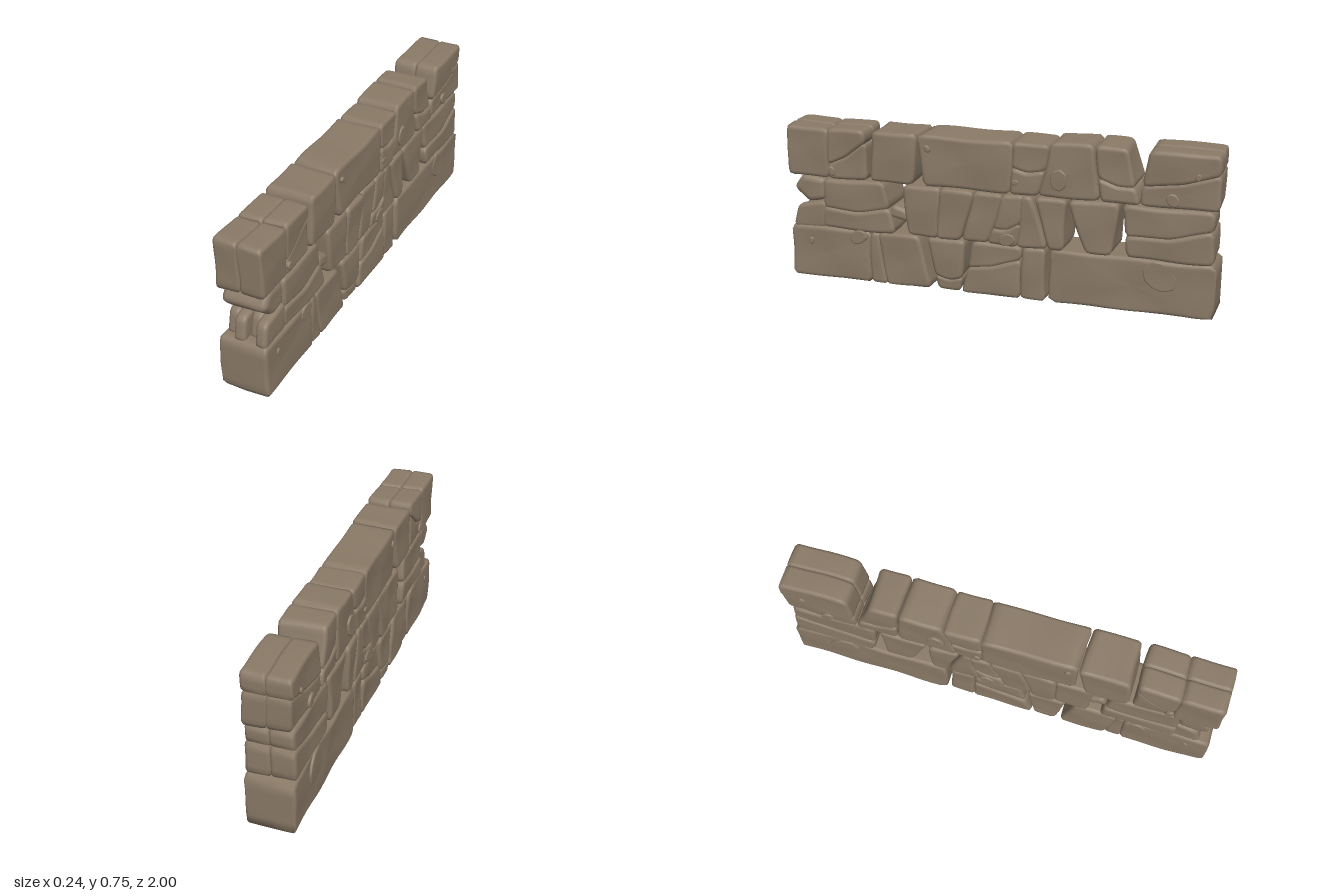
import * as THREE from 'three';

const stoneMat = new THREE.MeshStandardMaterial({ color: 0x8a7a67 });
stoneMat.name = 'weathered stone';

const SEG = 44;
const wob = (a, b, c) => Math.sin(a * 17 + b * 9 + c * 5) * 0.6 + Math.sin(a * 8 - b * 23 + c * 11 + 2) * 0.4;

// Outline along the wall (u runs from front to back, v is up) with rounded corners
function outline(pts, r) {
  const P = pts.map(([u, v]) => new THREE.Vector2(u, v));
  const shape = new THREE.Shape();
  P.forEach((p, i) => {
    const prev = P[(i + P.length - 1) % P.length], next = P[(i + 1) % P.length];
    const a = p.clone().lerp(prev, Math.min(0.45, r / p.distanceTo(prev)));
    const b = p.clone().lerp(next, Math.min(0.45, r / p.distanceTo(next)));
    if (i) shape.lineTo(a.x, a.y); else shape.moveTo(a.x, a.y);
    shape.quadraticCurveTo(p.x, p.y, b.x, b.y);
  });
  shape.closePath();
  return shape.getSpacedPoints(SEG).slice(0, SEG);
}

// Worn stone: counter-clockwise outline swept from x0 to x1, with rounded edges and uneven faces
function stoneGeometry(pts, x0, x1, { bevel = 0.017, r = 0.022, grow = 0.003, rough = 0.004 } = {}) {
  const ring = outline(pts, r);
  const c = ring.reduce((s, p) => s.add(p), new THREE.Vector2()).divideScalar(SEG);
  const normals = ring.map((p, i) => {
    const t = ring[(i + 1) % SEG].clone().sub(ring[(i + SEG - 1) % SEG]).normalize();
    return new THREE.Vector2(t.y, -t.x);
  });
  // Cross-sections: [scale to centre, inset, distance from the face]
  const half = [0, 0.4, 0.75, 0.95].map(s => [s, bevel, 0]);
  for (let k = 0; k <= 4; k++) {
    const a = k * Math.PI / 8;
    half.push([1, bevel * (1 - Math.sin(a)), bevel * (1 - Math.cos(a))]);
  }
  const sections = [
    ...half.map(([s, i, d]) => [s, i, x0 + d]),
    [1, 0, (x0 + x1) / 2],
    ...half.map(([s, i, d]) => [s, i, x1 - d]).reverse(),
  ];

  const pos = [], index = [];
  sections.forEach(([s, inset, x], k) => ring.forEach((p, j) => {
    const u = c.x + (p.x + normals[j].x * (grow - inset) - c.x) * s;
    const v = c.y + (p.y + normals[j].y * (grow - inset) - c.y) * s;
    pos.push(
      x + wob(u + c.x, v * 1.3, c.y) * rough,
      Math.max(0, v + wob(u, v, x) * rough),
      -THREE.MathUtils.clamp(u + wob(v + 3, u, x * 2) * rough * 1.5, -1, 1));
    if (k < sections.length - 1) {
      const a = k * SEG + j, b = k * SEG + (j + 1) % SEG;
      index.push(a, b, b + SEG, a, b + SEG, a + SEG);
    }
  }));
  const g = new THREE.BufferGeometry();
  g.setAttribute('position', new THREE.Float32BufferAttribute(pos, 3));
  g.setIndex(index);
  g.computeVertexNormals();
  return g;
}

// Each stone: u at bottom front, bottom back, top front, top back,
// then, if it is cracked in two, the crack height at its front and back
const courses = [
  { name: 'bottomCourse', v0: 0, v1: 0.247, stones: [
    [-1, -0.6, -1, -0.6], [-0.6, -0.52, -0.6, -0.56], [-0.52, -0.3, -0.56, -0.37],
    [-0.27, -0.17, -0.32, -0.14, 0.28, 0.28], [-0.16, 0.12, -0.1, 0.12, 0.5, 0.75],
    [0.12, 0.24, 0.13, 0.23], [0.26, 1, 0.26, 1]] },
  { name: 'middleCourse', v0: 0.25, v1: 0.485, stones: [
    [-0.83, -0.48, -0.83, -0.53, 0.4, 0.48], [-0.42, -0.27, -0.43, -0.26], [-0.27, -0.16, -0.26, -0.1],
    [-0.15, -0.03, -0.1, 0.04], [-0.03, 0.1, 0.04, 0.14, 0.3, 0.45], [0.1, 0.24, 0.13, 0.17],
    [0.25, 0.32, 0.19, 0.33], [0.42, 0.54, 0.34, 0.56], [0.61, 0.98, 0.58, 0.98, 0.4, 0.62]] },
  { name: 'topCourse', v0: 0.495, v1: 0.727, stones: [
    [-1, -0.8, -1, -0.8], [-0.8, -0.61, -0.8, -0.62, 0.28, 0.75], [-0.59, -0.39, -0.58, -0.36],
    [-0.34, 0.08, -0.355, 0.08], [0.08, 0.2, 0.08, 0.25, 0.5, 0.5], [0.2, 0.47, 0.26, 0.45],
    [0.48, 0.66, 0.46, 0.59, 0.42, 0.3], [0.66, 1, 0.69, 1, 0.35, 0.65]] },
];

// Corner points of a stone, or of its two pieces when cracked
function pieces([bf, bb, tf, tb, crackF, crackB], v0, v1) {
  const bottom = [[bf, v0], [bb, v0]], top = [[tb, v1], [tf, v1]];
  if (crackF === undefined) return [[...bottom, ...top]];
  const { lerp } = THREE.MathUtils;
  const front = [lerp(bf, tf, crackF), lerp(v0, v1, crackF)];
  const back = [lerp(bb, tb, crackB), lerp(v0, v1, crackB)];
  const bend = [(front[0] + back[0]) / 2, (front[1] + back[1]) / 2 - 0.018];
  return [[...bottom, back, bend, front], [front, bend, back, ...top]];
}

// Chipped crusts and knobs on both long faces: [u, v, radius]
const chips = [
  [0.76, 0.175, 0.075], [-0.66, 0.22, 0.04], [0.29, 0.58, 0.045], [0.8, 0.53, 0.03], [0.06, 0.28, 0.035],
  [-0.9, 0.18, 0.016], [-0.31, 0.67, 0.016], [0.1, 0.55, 0.016], [0.9, 0.64, 0.016], [-0.78, 0.53, 0.022],
];

export function createModel() {
  const wall = new THREE.Group();
  wall.name = 'ruinedStoneWall';

  const add = (parent, name, geo) => {
    const m = new THREE.Mesh(geo, stoneMat);
    m.name = name;
    parent.add(m);
  };

  courses.forEach(({ name, v0, v1, stones }, row) => {
    const course = new THREE.Group();
    course.name = name;
    stones.forEach((s, i) => {
      const mid = (s[0] + s[1]) / 2;
      const top = row === 2 && mid > 0.3 ? v1 + 0.014 : v1;
      pieces(s, v0, top).forEach((pts, k) => {
        const w = 0.11 - 0.005 * ((i + k) % 2);
        // Stones at the wall ends are laid in pairs
        if (row > 0 && Math.abs(mid) > 0.68) {
          add(course, `stone${i}Left`, stoneGeometry(pts, -0.002, w));
          add(course, `stone${i}Right`, stoneGeometry(pts, -w, 0.002));
        } else add(course, `stone${i}`, stoneGeometry(pts, -w, w));
      });
    });
    wall.add(course);
  });

  // Boulder and broken rubble filling the front end of the middle course
  add(wall, 'boulder', stoneGeometry(
    [[-0.91, 0.365], [-0.83, 0.38], [-0.83, 0.48], [-0.94, 0.49], [-0.98, 0.43]], -0.1, 0.1, { bevel: 0.025 }));
  [-0.95, -0.985, -0.94, -0.99].forEach((u, i) => {
    const x = -0.1 + i * 0.05;
    add(wall, `rubble${i}`, stoneGeometry(
      [[u, 0.24], [-0.82, 0.24], [-0.82, 0.37], [u + 0.03, 0.345]], x, x + 0.052));
  });

  // Small wedged stone in the gap of the middle course
  add(wall, 'wedge', stoneGeometry([[-0.51, 0.33], [-0.42, 0.31], [-0.42, 0.36], [-0.49, 0.38]], -0.09, 0.09));

  // Chips, repeated on both faces
  for (const side of [1, -1]) chips.forEach(([u, v, radius], i) => {
    const pts = Array.from({ length: 9 }, (_, k) => {
      const t = k / 9 * Math.PI * 2, q = radius * (1 + 0.16 * Math.sin(k * 5 + i * 2));
      return [u + Math.cos(t) * q, v + Math.sin(t) * q];
    });
    const x = side * 0.102;
    add(wall, `chip${i}`, stoneGeometry(pts, x - 0.013, x + 0.013, { bevel: 0.006, r: 0.008, grow: 0, rough: 0.003 }));
  });
  return wall;
}
